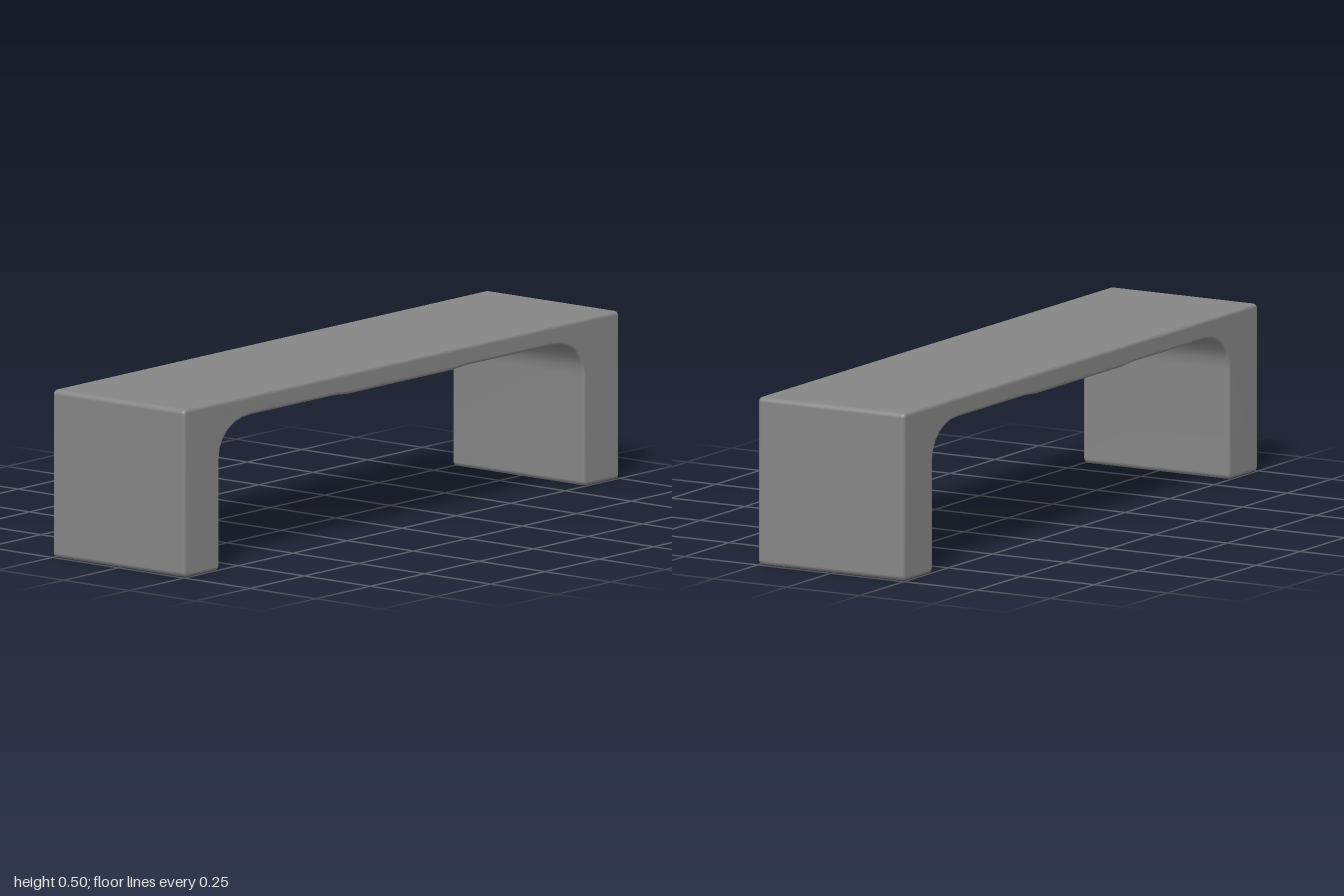
import * as THREE from 'three';
import { mergeVertices } from 'three/addons/utils/BufferGeometryUtils.js';

const WIDTH = 0.5, HEIGHT = 0.5, HALF = 1, INNER = 0.835;
const BEVEL = 0.01, R = 0.015; // edge rounding across the width, and on the outline

// Side outline of the handle, drawn with length along shape x and height along y
function handleProfile() {
  const s = new THREE.Shape();
  // Rounded convex corner, joined to the previous point by a straight line
  const corner = (x, y, quarter) =>
    s.absarc(x, y, R, quarter * Math.PI / 2, (quarter + 1) * Math.PI / 2, false);

  // Rear foot, starting in the middle of its sole
  s.moveTo(-0.92, 0);
  corner(-INNER - R, R, 3);
  // Rear inner fillet, underside of the grip with its shallow belly, front inner fillet
  s.lineTo(-INNER, 0.33);
  s.bezierCurveTo(-INNER, 0.395, -0.775, 0.44, -0.69, 0.44);
  s.lineTo(-0.3, 0.44);
  s.lineTo(-0.24, 0.435);
  s.lineTo(0.24, 0.435);
  s.lineTo(0.3, 0.44);
  s.lineTo(0.69, 0.44);
  s.bezierCurveTo(0.775, 0.44, INNER, 0.395, INNER, 0.33);
  // Front foot
  corner(INNER + R, R, 2);
  corner(HALF - R, R, 3);
  // Top corners, then down the rear face
  corner(HALF - R, HEIGHT - R, 0);
  corner(-HALF + R, HEIGHT - R, 1);
  corner(-HALF + R, R, 2);
  return s;
}

export function createModel() {
  const group = new THREE.Group();
  group.name = 'drawerHandle';

  const depth = WIDTH - 2 * BEVEL;
  let geometry = new THREE.ExtrudeGeometry(handleProfile(), {
    depth, curveSegments: 6,
    bevelEnabled: true, bevelSize: BEVEL, bevelThickness: BEVEL,
    bevelOffset: -BEVEL, bevelSegments: 4,
  });
  geometry.translate(0, 0, -depth / 2);
  geometry.rotateY(-Math.PI / 2);

  // Weld, so area-weighted normals keep faces flat and edges softly rounded
  geometry.deleteAttribute('uv');
  geometry.deleteAttribute('normal');
  geometry = mergeVertices(geometry, 1e-5);
  geometry.computeVertexNormals();

  const handle = new THREE.Mesh(geometry, new THREE.MeshStandardMaterial({ color: 0x868686 }));
  handle.name = 'handleBody';
  group.add(handle);
  return group;
}
